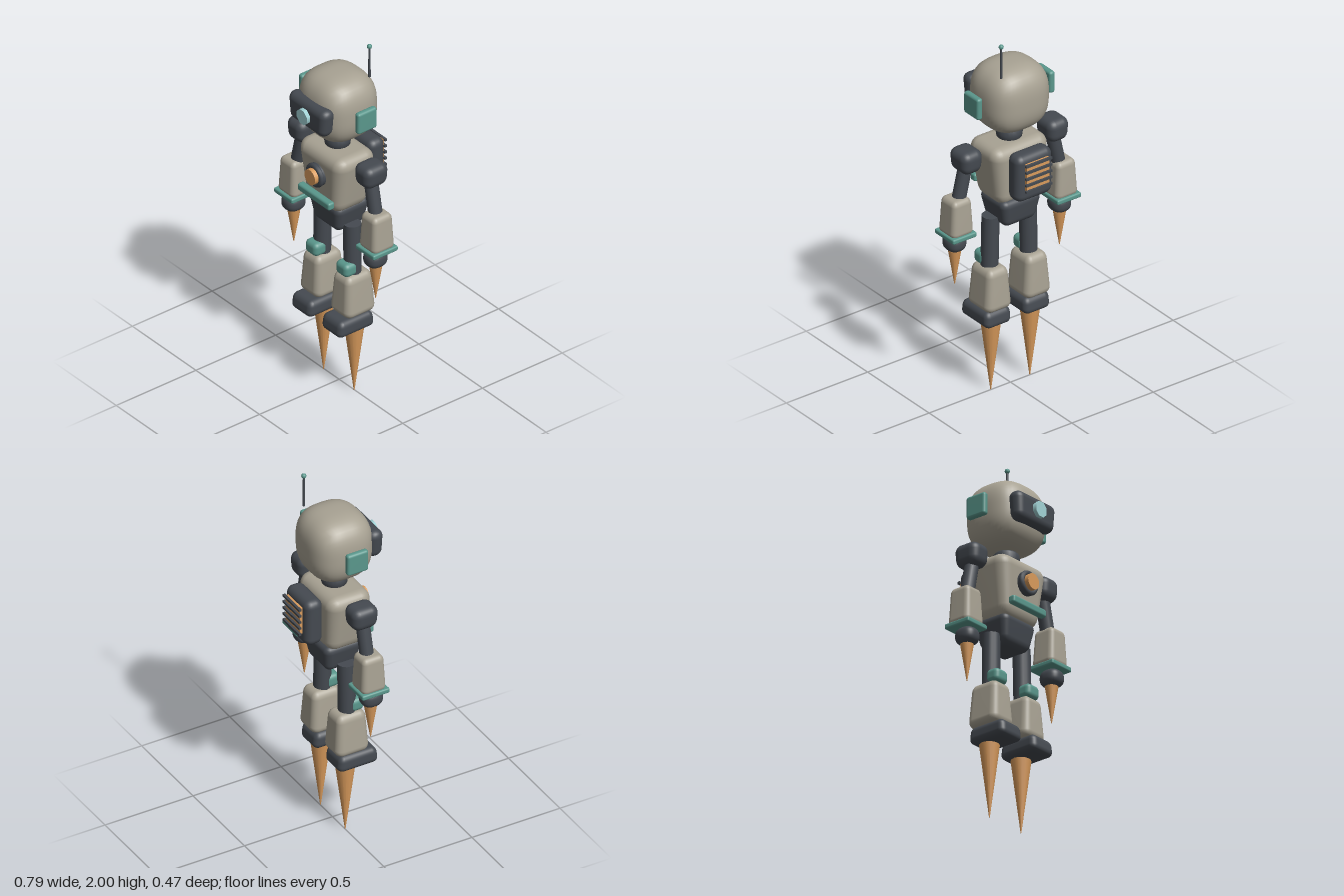
import * as THREE from 'three';
import { mergeVertices } from 'three/addons/utils/BufferGeometryUtils.js';
import { RoundedBoxGeometry } from 'three/addons/geometries/RoundedBoxGeometry.js';

const material = (name, color) => {
  const m = new THREE.MeshStandardMaterial({ color });
  m.name = name;
  return m;
};

export function createModel() {
  const shell = material('warm grey shell', 0xa8a293);
  const dark = material('charcoal', 0x454a51);
  const teal = material('teal trim', 0x5a978c);
  const amber = material('amber', 0xd99b5c);
  const glow = material('pale cyan lens', 0xa2d3d6);

  const robot = new THREE.Group();
  robot.name = 'robot';

  const add = (parent, name, geometry, mat, x, y, z) => {
    const mesh = new THREE.Mesh(geometry, mat);
    mesh.name = name;
    mesh.position.set(x, y, z);
    parent.add(mesh);
    return mesh;
  };

  // Recompute smooth normals over welded vertices
  const smooth = (g) => {
    g.deleteAttribute('normal');
    g.deleteAttribute('uv');
    g.clearGroups();
    const welded = mergeVertices(g, 1e-5);
    welded.computeVertexNormals();
    return welded;
  };

  // Rounded box whose x and z shrink toward the top or bottom
  const softBox = (w, h, d, r, top = [1, 1], bottom = [1, 1]) => {
    const g = new RoundedBoxGeometry(w, h, d, 4, r);
    const p = g.attributes.position;
    for (let i = 0; i < p.count; i++) {
      const t = p.getY(i) / h + 0.5;
      p.setX(i, p.getX(i) * THREE.MathUtils.lerp(bottom[0], top[0], t));
      p.setZ(i, p.getZ(i) * THREE.MathUtils.lerp(bottom[1], top[1], t));
    }
    return smooth(g);
  };

  // Cube grid inflated to a rounded, slightly square ball
  const squareBall = (w, h, d, power) => {
    const g = new THREE.BoxGeometry(2, 2, 2, 14, 14, 14);
    const p = g.attributes.position;
    for (let i = 0; i < p.count; i++) {
      const v = [p.getX(i), p.getY(i), p.getZ(i)].map((c) => Math.tan(c * Math.PI / 4));
      const n = v.reduce((s, c) => s + Math.abs(c) ** power, 0) ** (1 / power);
      p.setXYZ(i, v[0] / n * w / 2, v[1] / n * h / 2, v[2] / n * d / 2);
    }
    return smooth(g);
  };

  // Cylinder pointing along z
  const disc = (r, depth, sides) =>
    new THREE.CylinderGeometry(r, r, depth, sides).rotateX(Math.PI / 2);

  // Limb segment between two points
  const rod = (parent, name, a, b, r, mat) => {
    const from = new THREE.Vector3(...a), to = new THREE.Vector3(...b);
    const dir = to.clone().sub(from);
    const mid = from.clone().add(to).multiplyScalar(0.5);
    const mesh = add(parent, name, new THREE.CylinderGeometry(r, r, dir.length(), 16), mat, mid.x, mid.y, mid.z);
    mesh.quaternion.setFromUnitVectors(new THREE.Vector3(0, 1, 0), dir.normalize());
    return mesh;
  };

  // Downward pointing jet cone with a tiny blunt tip
  const cone = (r, h) => new THREE.CylinderGeometry(r, 0.002, h, 16);

  // Head
  const head = new THREE.Group();
  head.name = 'head';
  robot.add(head);
  add(head, 'skull', squareBall(0.36, 0.365, 0.34, 2.8), shell, 0, 1.643, 0.008);
  add(head, 'visor', softBox(0.3, 0.155, 0.085, 0.04, [1, 1], [0.9, 0.95]), dark, 0, 1.638, 0.173);
  add(head, 'lens', disc(0.043, 0.03, 8).rotateZ(Math.PI / 8), glow, 0, 1.64, 0.22);
  for (const s of [-1, 1]) {
    add(head, s > 0 ? 'leftEar' : 'rightEar', softBox(0.034, 0.12, 0.12, 0.014), teal, s * 0.222, 1.645, 0.009);
  }
  add(head, 'antennaRod', new THREE.CylinderGeometry(0.005, 0.007, 0.175, 8), dark, 0.125, 1.897, -0.09);
  add(head, 'antennaTip', new THREE.SphereGeometry(0.013, 12, 8), teal, 0.125, 1.987, -0.09);

  // Neck with a thick collar
  const neckProfile = [[0, 1.36], [0.055, 1.36], [0.055, 1.395], [0.064, 1.402], [0.067, 1.425], [0.064, 1.452], [0.052, 1.465], [0, 1.468]];
  add(robot, 'neck', new THREE.LatheGeometry(neckProfile.map(([x, y]) => new THREE.Vector2(x, y)), 20), dark, 0, 0, 0.01);

  // Torso
  const torso = new THREE.Group();
  torso.name = 'torso';
  robot.add(torso);
  add(torso, 'chest', softBox(0.36, 0.335, 0.255, 0.065, [1, 1], [0.7, 0.82]), shell, 0, 1.232, 0.014);
  add(torso, 'chestLampRing', new THREE.TorusGeometry(0.051, 0.014, 10, 24), dark, 0, 1.265, 0.152);
  add(torso, 'chestLampHousing', disc(0.062, 0.04, 24), dark, 0, 1.265, 0.138);
  add(torso, 'chestLamp', disc(0.042, 0.06, 24), amber, 0, 1.265, 0.155);
  add(torso, 'beltBar', softBox(0.25, 0.042, 0.04, 0.012), teal, 0, 1.139, 0.145);
  add(torso, 'waist', new THREE.SphereGeometry(0.085, 20, 14), dark, 0, 1.06, 0.005);
  add(torso, 'pelvis', softBox(0.255, 0.155, 0.22, 0.04, [1, 1], [0.74, 0.78]), dark, 0, 1.017, 0);

  // Backpack with slatted vent
  const pack = new THREE.Group();
  pack.name = 'backpack';
  robot.add(pack);
  add(pack, 'packBody', softBox(0.222, 0.26, 0.1, 0.04), dark, 0, 1.265, -0.16);
  add(pack, 'ventGlow', new THREE.BoxGeometry(0.14, 0.15, 0.02), amber, 0, 1.282, -0.216);
  for (let i = 0; i < 5; i++) {
    add(pack, 'ventSlat' + (i + 1), new THREE.BoxGeometry(0.16, 0.012, 0.014), dark, 0, 1.21 + i * 0.036, -0.23);
  }

  // Arms and legs, mirrored
  for (const s of [-1, 1]) {
    const side = s > 0 ? 'left' : 'right';
    const arm = new THREE.Group();
    arm.name = side + 'Arm';
    robot.add(arm);
    add(arm, 'shoulder', softBox(0.132, 0.125, 0.15, 0.045, [1, 1], [0.86, 0.92]), dark, s * 0.265, 1.354, 0.01);
    rod(arm, 'upperArm', [s * 0.266, 1.32, 0.014], [s * 0.306, 1.14, 0.016], 0.036, dark);
    add(arm, 'forearm', softBox(0.136, 0.205, 0.138, 0.03, [0.82, 0.86]), shell, s * 0.32, 1.055, 0.019);
    add(arm, 'cuff', softBox(0.146, 0.028, 0.156, 0.009), teal, s * 0.321, 0.952, 0.02);
    add(arm, 'wrist', squareBall(0.106, 0.094, 0.116, 2.5), dark, s * 0.322, 0.897, 0.03);
    add(arm, 'handJet', cone(0.034, 0.195), amber, s * 0.322, 0.757, 0.028);

    const leg = new THREE.Group();
    leg.name = side + 'Leg';
    robot.add(leg);
    rod(leg, 'thigh', [s * 0.115, 0.985, 0.01], [s * 0.12, 0.69, 0.012], 0.045, dark);
    add(leg, 'knee', softBox(0.092, 0.075, 0.08, 0.026), teal, s * 0.12, 0.743, 0.05);
    add(leg, 'shin', softBox(0.162, 0.235, 0.19, 0.04, [0.76, 0.84]), shell, s * 0.12, 0.594, 0.01);
    // Foot with sloping toe
    const foot = softBox(0.16, 0.09, 0.232, 0.032, [0.96, 0.9], [1, 1]);
    add(leg, 'foot', foot, dark, s * 0.119, 0.434, 0.04);
    add(leg, 'footJet', cone(0.053, 0.4), amber, s * 0.12, 0.2, 0.002);
  }
  return robot;
}
